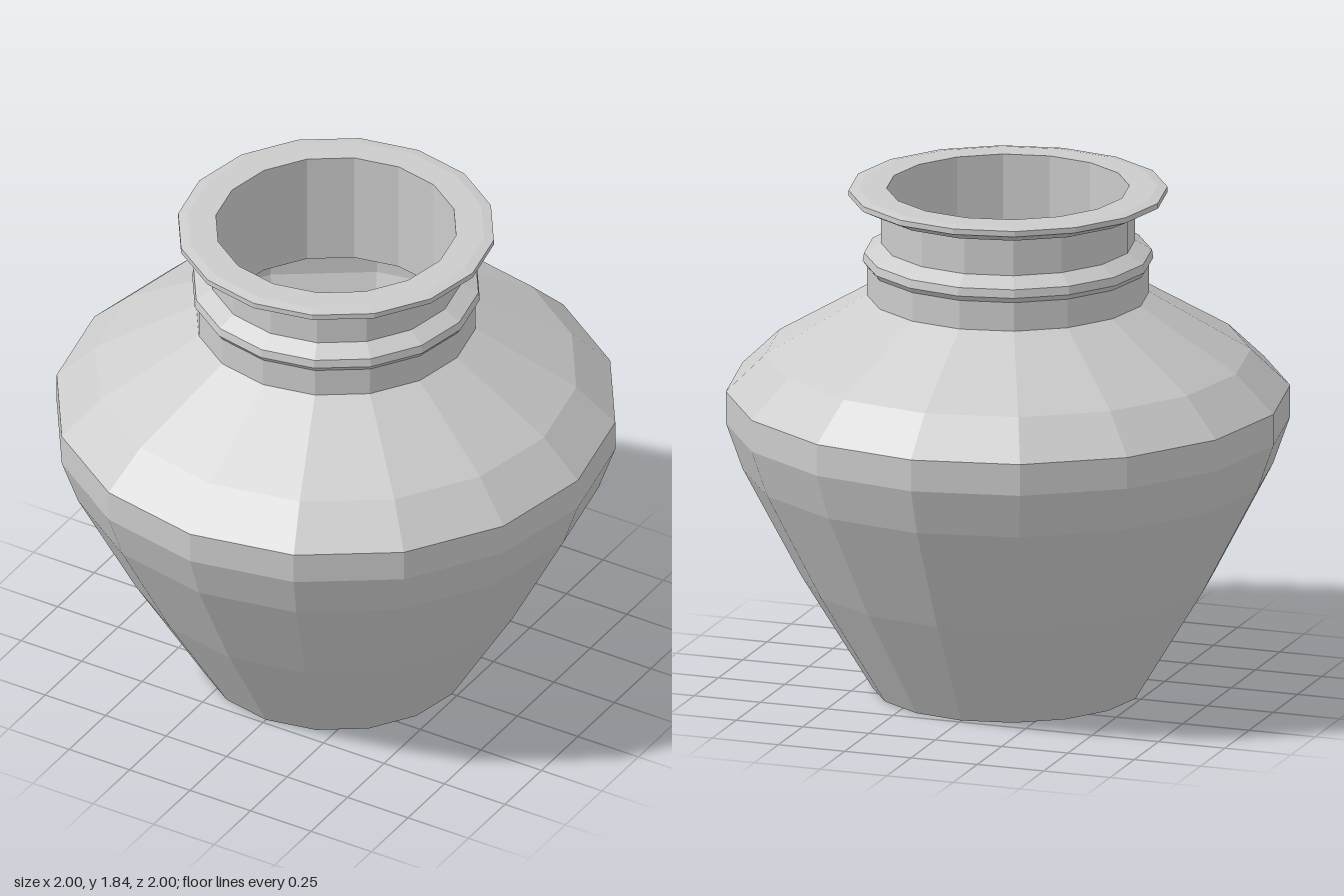
import * as THREE from 'three';

const SIDES = 16;

// Faceted turned part from [radius, height] pairs
function turned(name, profile, material) {
  const points = profile.map(([r, y]) => new THREE.Vector2(r, y));
  const mesh = new THREE.Mesh(new THREE.LatheGeometry(points, SIDES), material);
  mesh.name = name;
  return mesh;
}

export function createModel() {
  const group = new THREE.Group();
  group.name = 'jar';
  const clay = new THREE.MeshStandardMaterial({ color: 0xcccccc, flatShading: true });

  // Recessed underside and foot ring
  group.add(turned('foot', [[0, 0.03], [0.43, 0.03], [0.445, 0], [0.48, 0]], clay));

  // Tapered belly and sloping shoulder
  group.add(turned('body', [
    [0.48, 0], [0.73, 0.41], [0.94, 0.81], [1, 0.98], [1, 1.095], [0.86, 1.23], [0.5, 1.445],
  ], clay));

  // Neck with raised collar
  group.add(turned('neck', [
    [0.5, 1.445], [0.5, 1.55], [0.515, 1.57], [0.51, 1.6], [0.45, 1.635], [0.45, 1.775],
  ], clay));

  // Flared lip
  group.add(turned('rim', [
    [0.45, 1.775], [0.5, 1.778], [0.565, 1.81], [0.565, 1.83], [0.53, 1.836], [0.43, 1.836],
  ], clay));

  // Inner wall and floor, running from the lip down
  group.add(turned('interior', [
    [0.43, 1.836], [0.43, 1.41], [0.83, 1.21], [0.965, 1.08], [0.965, 0.99],
    [0.905, 0.82], [0.695, 0.42], [0.46, 0.045], [0, 0.045],
  ], clay));

  return group;
}
